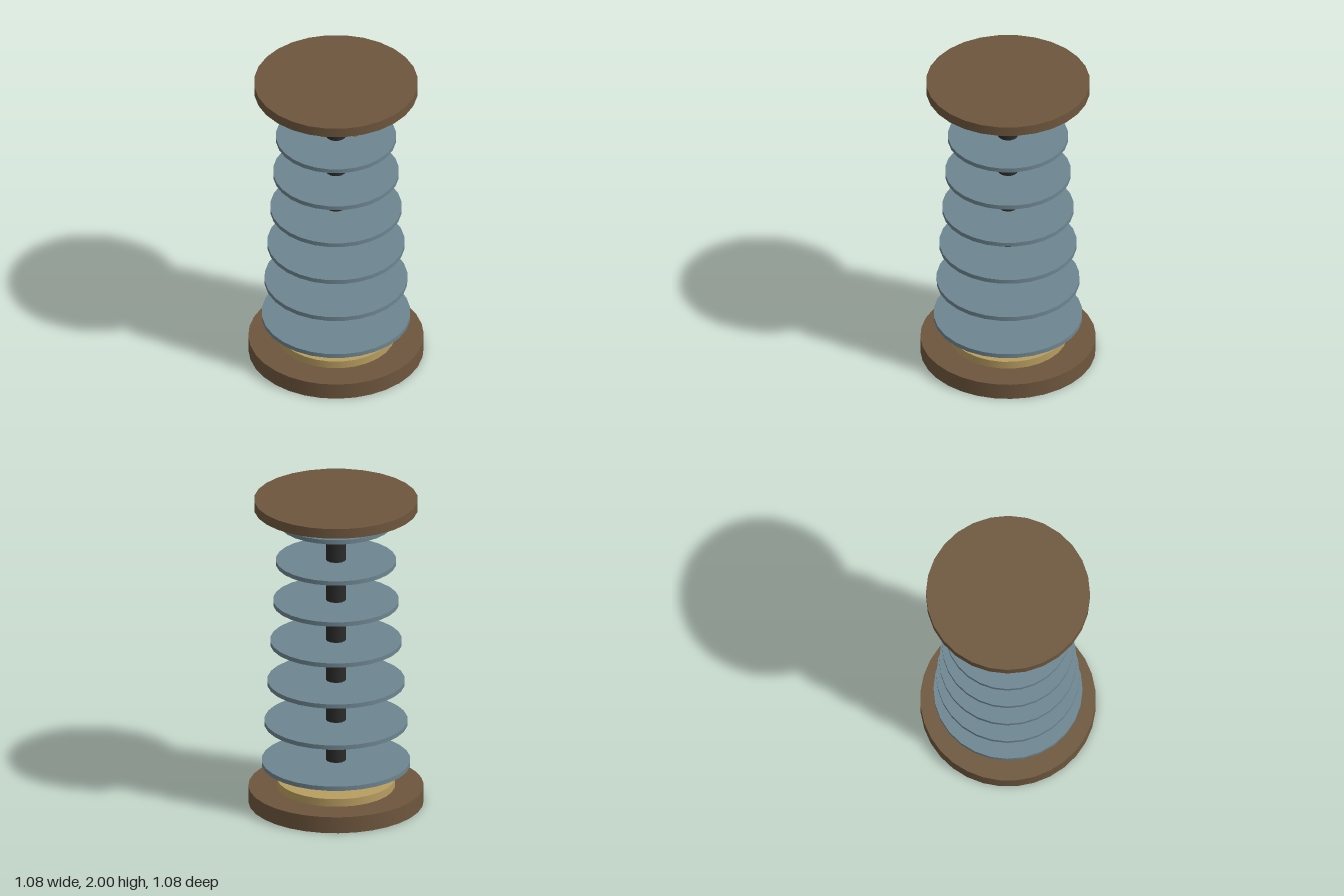
import * as THREE from 'three';

const material = (name, color) => {
  const m = new THREE.MeshStandardMaterial({ color });
  m.name = name;
  return m;
};

export function createModel() {
  const wood = material('brown wood', 0x6e563d);
  const slate = material('slate blue', 0x6d8590);
  const iron = material('dark iron', 0x2b2b2b);
  const brass = material('brass', 0xb89d60);

  const model = new THREE.Group();
  model.name = 'tieredStand';

  const add = (name, geometry, mat, x, y, z) => {
    const mesh = new THREE.Mesh(geometry, mat);
    mesh.name = name;
    mesh.position.set(x, y, z);
    model.add(mesh);
  };

  // Upright round part between two heights
  const disc = (name, radius, y0, y1, sides, mat) =>
    add(name, new THREE.CylinderGeometry(radius, radius, y1 - y0, sides), mat, 0, (y0 + y1) / 2, 0);

  // Base, collar, post and top cap (a small gap stays between post and cap)
  disc('base', 0.54, 0, 0.105, 32, wood);
  disc('collar', 0.364, 0.105, 0.155, 28, brass);
  disc('post', 0.063, 0.13, 1.908, 16, iron);
  disc('topCap', 0.505, 1.937, 2, 28, wood);

  // Seven shelves, narrowing upward
  for (let i = 0; i < 7; i++) {
    const y = 0.262 + i * 0.265;
    disc(`shelf${i + 1}`, 0.459 - i * 0.0177, y - 0.014, y + 0.014, 28, slate);
  }

  // Five brass rings hanging in an arc under the front of the cap
  for (let i = -2; i <= 2; i++) {
    const x = i * 0.162;
    add(`hangingRing${i + 3}`, new THREE.TorusGeometry(0.0255, 0.0105, 8, 16),
      brass, x, 1.932, Math.sqrt(0.449 ** 2 - x * x));
  }

  return model;
}
